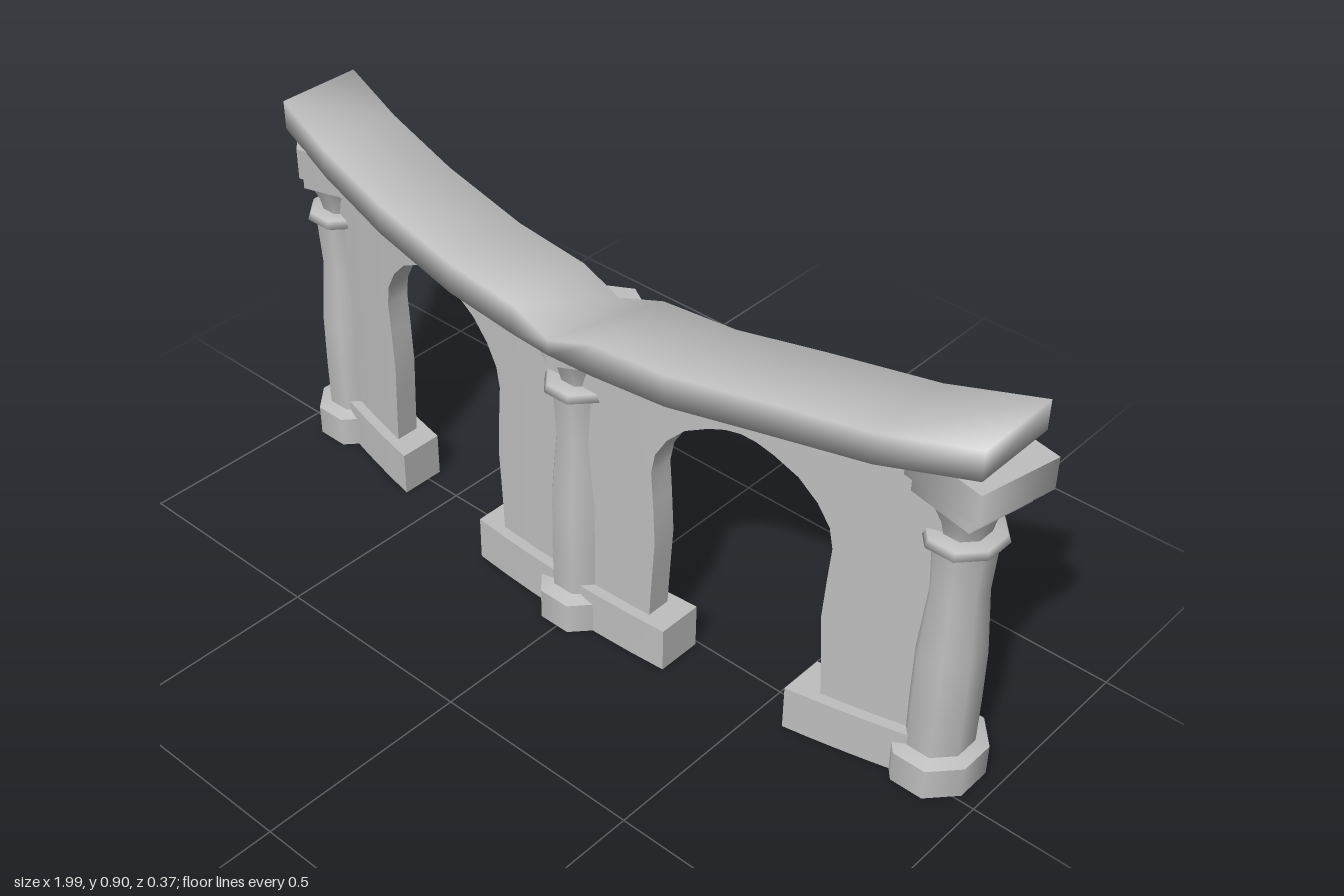
import * as THREE from 'three';
import { mergeVertices } from 'three/addons/utils/BufferGeometryUtils.js';

const stone = new THREE.MeshStandardMaterial({ color: 0xbebebe });
stone.name = 'stone';

// Centre line of the curved arcade in plan
const arcZ = (x) => 0.075 - 0.15 * (x / 0.96) ** 2;

// Linear lookup in a list of [key, value, ...] rows
function lookup(rows, key, col = 1) {
  for (let i = 1; i < rows.length; i++) {
    if (key <= rows[i][0]) {
      const [a, b] = [rows[i - 1], rows[i]];
      const t = Math.max(0, (key - a[0]) / (b[0] - a[0] || 1));
      return a[col] + (b[col] - a[col]) * t;
    }
  }
  return rows[rows.length - 1][col];
}

function mesh(name, geometry) {
  const m = new THREE.Mesh(geometry, stone);
  m.name = name;
  return m;
}

// Box grid whose vertices are placed by rule(u, v, w), with u, v in 0..1 and w = -1 or 1
function mappedBox(nu, nv, rule, smooth = false) {
  let g = new THREE.BoxGeometry(1, 1, 1, nu, nv, 1);
  const p = g.attributes.position;
  for (let i = 0; i < p.count; i++) {
    p.setXYZ(i, ...rule(p.getX(i) + 0.5, p.getY(i) + 0.5, Math.sign(p.getZ(i))));
  }
  if (smooth) {
    g.deleteAttribute('uv');
    g.deleteAttribute('normal');
    g = mergeVertices(g, 1e-4);
  }
  g.computeVertexNormals();
  return g;
}

// Rail stations: x, underside, top
const RAIL = [
  [-0.98, 0.83, 0.9], [-0.78, 0.803, 0.875], [-0.55, 0.775, 0.85], [-0.3, 0.75, 0.825],
  [-0.1, 0.742, 0.815], [0, 0.738, 0.775], [0.12, 0.742, 0.818], [0.3, 0.75, 0.825],
  [0.5, 0.778, 0.852], [0.74, 0.797, 0.868], [0.94, 0.83, 0.9],
];

// Half width of an arch opening by height
const ARCH = [
  [0.1, 0.212], [0.2, 0.207], [0.32, 0.2], [0.42, 0.206], [0.5, 0.212], [0.55, 0.203],
  [0.6, 0.174], [0.645, 0.13], [0.675, 0.075], [0.69, 0.035], [0.695, 0], [0.78, 0],
];

// One pier of the wall, spreading into the arches up to their crowns
function pier(left, right) {
  const n = ARCH.length - 1;
  return mappedBox(10, n, (u, v, w) => {
    const row = ARCH[Math.round(v * n)];
    const x0 = left.crown === undefined ? left.x : left.crown + row[1];
    const x1 = right.crown === undefined ? right.x : right.crown - row[1];
    const x = x0 + (x1 - x0) * u;
    const y = v > 0.999 ? lookup(RAIL, x) + 0.015 : row[0];
    return [x, y, arcZ(x) + w * 0.03];
  });
}

function plinth(x0, x1) {
  return mappedBox(6, 1, (u, v, w) => {
    const x = x0 + (x1 - x0) * u;
    return [x, v * 0.11, arcZ(x) + w * 0.055];
  });
}

function lathe(points) {
  return new THREE.LatheGeometry(points.map(([r, y]) => new THREE.Vector2(r, y)), 8, Math.PI / 8);
}

// Polygonal block between two heights
function block(r, y0, y1, sides, turn) {
  const g = new THREE.CylinderGeometry(r, r, y1 - y0, sides);
  g.rotateY(turn);
  g.translate(0, (y0 + y1) / 2, 0);
  return g;
}

function column(name, x, z, cap) {
  const group = new THREE.Group();
  group.name = name;
  group.position.set(x, 0, z);
  const round = new THREE.Group();
  round.name = 'roundParts';
  round.scale.set(0.95, 1, 1.05);
  round.add(
    mesh('baseFoot', block(0.108, 0, 0.076, 8, Math.PI / 8)),
    mesh('baseSlope', lathe([[0.108, 0.076], [0.076, 0.086]])),
    mesh('shaft', lathe([[0.077, 0.08], [0.078, 0.2], [0.077, 0.33], [0.064, 0.49], [0.07, 0.6]])),
    mesh('neckRing', lathe([[0.066, 0.597], [0.09, 0.613], [0.083, 0.63], [0.045, 0.632]])),
    mesh('capitalFlare', lathe([[0.05, 0.625], [0.058, 0.66], [0.078, 0.705]])),
  );
  const lower = mesh('capitalBlock', block(cap.lower, 0.705, 0.747, cap.sides, cap.turn));
  const upper = mesh('capitalTop', block(cap.upper, 0.745, cap.top, cap.sides, cap.turn));
  upper.position.set(cap.dx, 0, cap.dz);
  group.add(round, lower, upper);
  return group;
}

export function createModel() {
  const model = new THREE.Group();
  model.name = 'curvedArcade';

  // Sagging stone rail along the top
  const n = RAIL.length - 1;
  model.add(mesh('rail', mappedBox(n, 1, (u, v, w) => {
    const [x, y0, y1] = RAIL[Math.round(u * n)];
    return [x, v > 0.5 ? y1 : y0, arcZ(x) + w * 0.106];
  }, true)));

  // Wall piers joined at the arch crowns
  const leftCrown = { crown: 0.42 };
  const rightCrown = { crown: -0.445 };
  model.add(
    mesh('rightPier', pier({ x: -0.88 }, rightCrown)),
    mesh('centrePier', pier(rightCrown, leftCrown)),
    mesh('leftPier', pier(leftCrown, { x: 0.87 })),
  );

  // Plinths under the piers
  model.add(
    mesh('rightPlinth', plinth(-0.88, -0.597)),
    mesh('centrePlinth', plinth(-0.295, 0.267)),
    mesh('leftPlinth', plinth(0.567, 0.86)),
  );

  // Columns with their capitals
  model.add(
    column('rightColumn', -0.893, -0.057,
      { sides: 6, turn: -0.23, lower: 0.1, upper: 0.122, top: 0.82, dx: 0.018, dz: 0 }),
    column('centreColumn', -0.008, 0.067,
      { sides: 6, turn: 0, lower: 0.108, upper: 0.12, top: 0.765, dx: 0, dz: -0.037 }),
    column('leftColumn', 0.866, -0.057,
      { sides: 4, turn: 0.58, lower: 0.115, upper: 0.139, top: 0.82, dx: 0.014, dz: 0 }),
  );
  return model;
}
